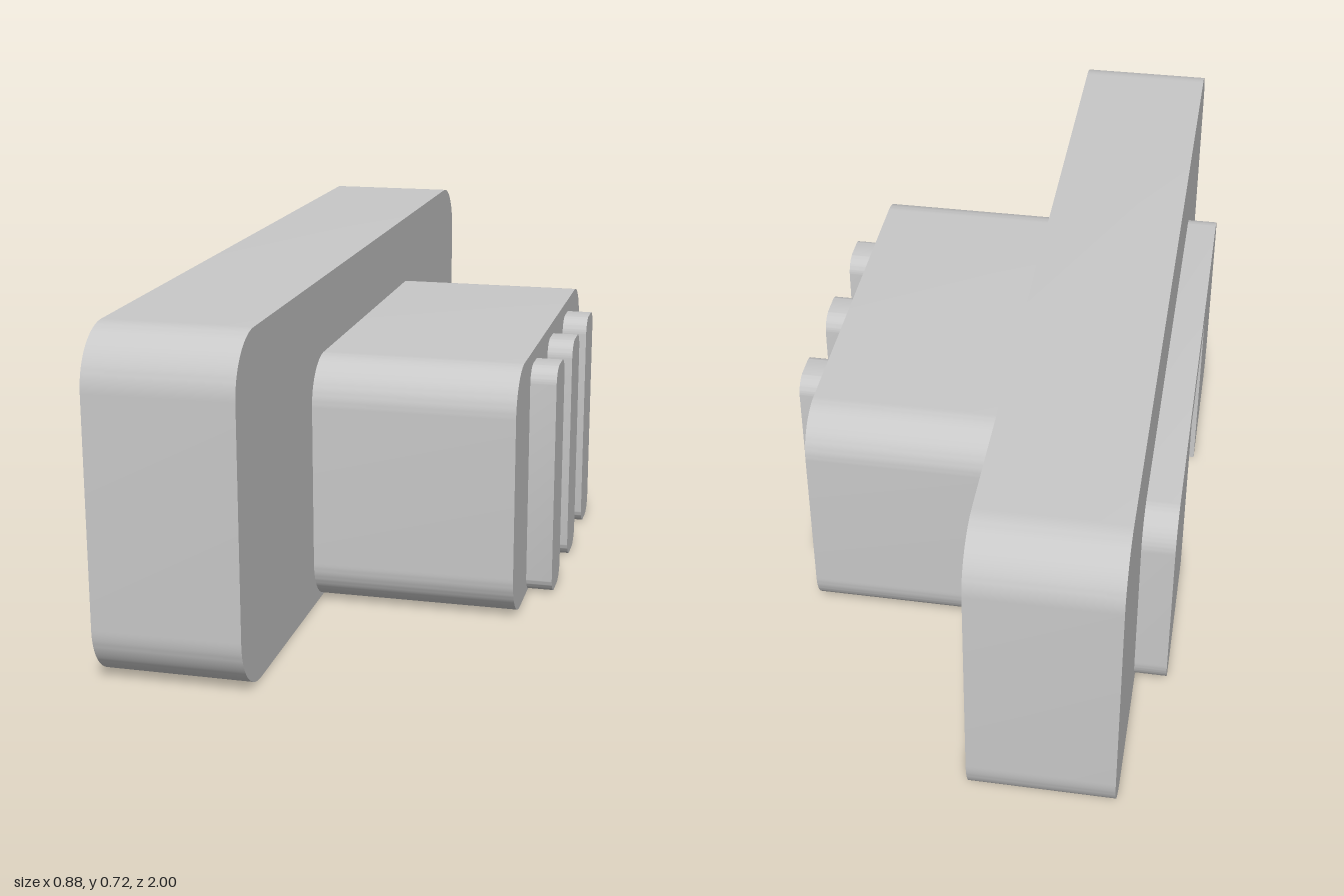
import * as THREE from 'three';
import { toCreasedNormals } from 'three/addons/utils/BufferGeometryUtils.js';

const grey = new THREE.MeshStandardMaterial({ color: 0xc8c8c8 });
grey.name = 'grey';

// Rounded upright outline standing on y = 0, optionally with a notch open at the bottom
function outline(halfWidth, height, r, notch) {
  const s = new THREE.Shape();
  s.moveTo(-halfWidth + r, 0);
  if (notch) {
    s.lineTo(-notch.half, 0);
    s.lineTo(-notch.half, notch.height);
    s.lineTo(notch.half, notch.height);
    s.lineTo(notch.half, 0);
  }
  s.lineTo(halfWidth - r, 0);
  s.absarc(halfWidth - r, r, r, -Math.PI / 2, 0);
  s.absarc(halfWidth - r, height - r, r, 0, Math.PI / 2);
  s.absarc(-halfWidth + r, height - r, r, Math.PI / 2, Math.PI);
  s.absarc(-halfWidth + r, r, r, Math.PI, Math.PI * 1.5);
  return s;
}

// Extrudes an outline along x, from x0 to x1
function block(name, shape, x0, x1, z = 0) {
  let geo = new THREE.ExtrudeGeometry(shape, { depth: x1 - x0, bevelEnabled: false, curveSegments: 12 });
  geo.rotateY(Math.PI / 2);
  geo = toCreasedNormals(geo, Math.PI / 6);
  const mesh = new THREE.Mesh(geo, grey);
  mesh.name = name;
  mesh.position.set(x0, 0, z);
  return mesh;
}

export function createModel() {
  const group = new THREE.Group();
  group.name = 'notchedBlock';
  const notch = { half: 0.2, height: 0.43 };

  // Thin back plate and wide slab share the notch; the body closes its inner end
  group.add(block('backPlate', outline(0.62, 0.492, 0.08, notch), -0.442, -0.37));
  group.add(block('wideSlab', outline(1, 0.722, 0.12, notch), -0.37, -0.06));
  group.add(block('body', outline(0.49, 0.556, 0.1), -0.06, 0.384));

  // Three grip ribs on the end of the body
  for (const z of [-0.247, 0, 0.247]) {
    group.add(block('gripRib', outline(0.061, 0.526, 0.04), 0.384, 0.442, z));
  }
  return group;
}
